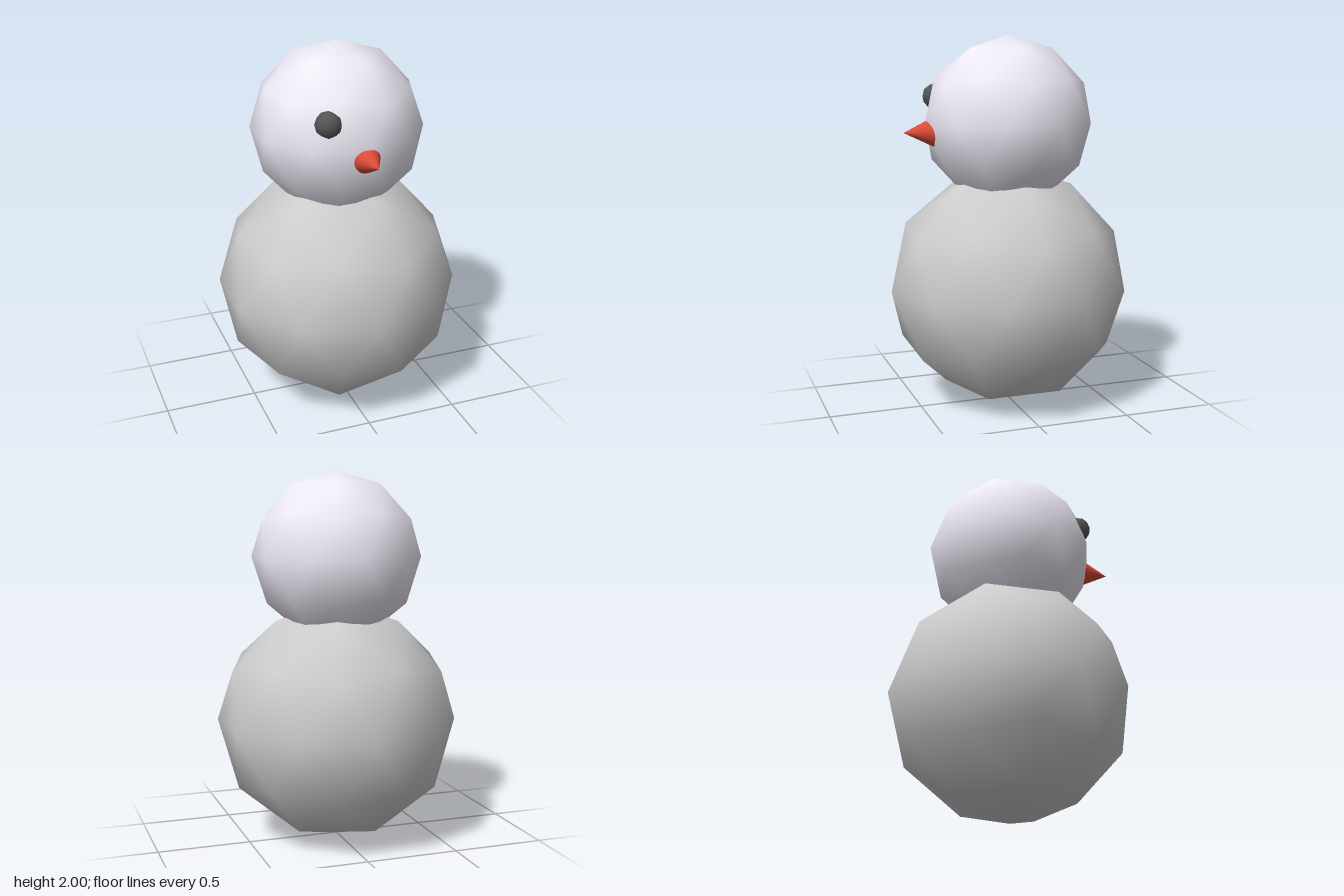
import * as THREE from 'three';

// Smooth icosphere with a pole up and an upper-ring corner on +x
function icosphere(radius) {
  const verts = [0, 1, 0];
  const faces = [];
  const h = 1 / Math.sqrt(5), r = 2 * h;
  for (const [y, shift] of [[h, 0], [-h, 0.5]]) {
    for (let i = 0; i < 5; i++) {
      const a = (i + shift) * Math.PI * 2 / 5;
      verts.push(r * Math.cos(a), y, r * Math.sin(a));
    }
  }
  verts.push(0, -1, 0);
  for (let i = 0; i < 5; i++) {
    const n = (i + 1) % 5;
    const u = 1 + i, u2 = 1 + n, l = 6 + i, l2 = 6 + n;
    faces.push(0, u2, u, u, u2, l, l, u2, l2, 11, l, l2);
  }
  return new THREE.PolyhedronGeometry(verts, faces, radius, 1);
}

export function createModel() {
  const group = new THREE.Group();
  group.name = 'snowFigure';

  function add(name, geometry, color, x, y, z) {
    const mesh = new THREE.Mesh(geometry, new THREE.MeshStandardMaterial({ color }));
    mesh.name = name;
    mesh.position.set(x, y, z);
    group.add(mesh);
  }

  // Two stacked balls
  add('body', icosphere(0.652), 0xcccccc, 0, 0.652, 0);
  add('head', icosphere(0.457), 0xeeeaf6, 0, 1.543, 0);

  // Single eye, half sunk into the head
  add('rightEye', icosphere(0.07), 0x555555, -0.175, 1.675, 0.352);

  // Cone nose pointing forward, its base buried in the head
  const nose = new THREE.ConeGeometry(0.083, 0.173, 32);
  nose.rotateX(Math.PI / 2);
  add('nose', nose, 0xdb4a38, 0, 1.497, 0.4865);

  return group;
}
